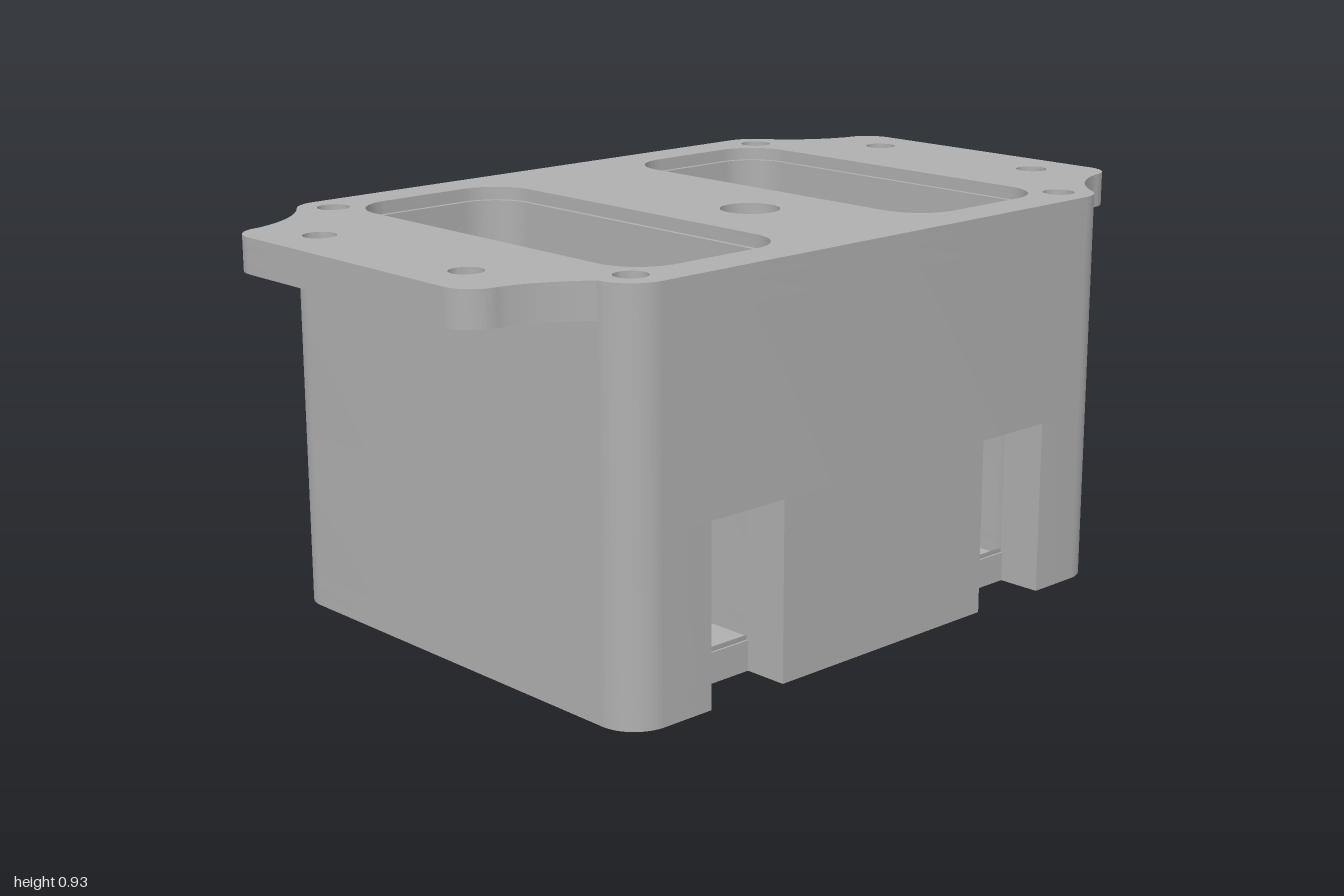
import * as THREE from 'three';
import { toCreasedNormals } from 'three/addons/utils/BufferGeometryUtils.js';

const HX = 0.585, HZ = 0.75, R = 0.09;               // body half sizes and corner radius
const PX = 0.475, PZ = 0.21, PC = 0.4225, PR = 0.1;  // pocket half sizes, centre z, corner radius
const NOTCH = 0.48, NC = 0.425, NW = 0.105;          // notch depth plane, centre z, half width
const FLOOR = 0.02, SILL = 0.07, NOTCH_TOP = 0.41, FLANGE = 0.845, LIP = 0.895, TOP = 0.925;
const Q = Math.PI / 2;

// Shapes are drawn in plan: shape x = model x, shape y = model z.
function roundRect(cz, hx, hz, r, Type = THREE.Path) {
  const p = new Type();
  [[1, -1], [1, 1], [-1, 1], [-1, -1]].forEach(([sx, sz], i) =>
    p.absarc(sx * (hx - r), cz + sz * (hz - r), r, (i - 1) * Q, i * Q, false));
  p.closePath();
  return p;
}

function circle(x, z, r) {
  return new THREE.Path().absarc(x, z, r, 0, Q * 4, false);
}

const pockets = (grow = 0) => [-PC, PC].map(c => roundRect(c, PX + grow, PZ + grow, PR + grow));

// Body outline with two notches in the +x side; open notches run into the pockets.
function notchedOutline(open) {
  const s = new THREE.Shape();
  s.absarc(-HX + R, -HZ + R, R, 2 * Q, 3 * Q, false);
  s.absarc(HX - R, -HZ + R, R, -Q, 0, false);
  for (const side of [-1, 1]) {
    const c = side * NC, depth = open ? PX : NOTCH;
    s.lineTo(HX, c - NW);
    s.lineTo(depth, c - NW);
    if (open) {
      [[1, -1], [-1, -1], [-1, 1], [1, 1]].forEach(([sx, sz], i) =>
        s.absarc(sx * (PX - PR), side * PC + sz * (PZ - PR), PR, -i * Q, -(i + 1) * Q, true));
    }
    s.lineTo(depth, c + NW);
    s.lineTo(HX, c + NW);
  }
  s.absarc(HX - R, HZ - R, R, 0, Q, false);
  s.absarc(-HX + R, HZ - R, R, Q, 2 * Q, false);
  s.closePath();
  return s;
}

// One scalloped quarter of the flange, from its end to the body side.
function flangeCorner(sx, sz) {
  const plain = sx > 0 && sz > 0;
  const a = plain ? Q : Math.PI / 3;
  const p = new THREE.Path();
  p.absarc(0.335, 0.925, 0.075, Q, 0, true);
  p.quadraticCurveTo(plain ? 0.425 : 0.44, plain ? 0.84 : 0.81,
    HX - R + R * Math.cos(a), HZ - R + R * Math.sin(a));
  p.absarc(HX - R, HZ - R, R, a, 0, true);
  const pts = p.getPoints(14).map(v => new THREE.Vector2(v.x * sx, v.y * sz));
  return sx * sz > 0 ? pts.reverse() : pts;
}

function flangeOutline() {
  return new THREE.Shape([[1, -1], [1, 1], [-1, 1], [-1, -1]].flatMap(([sx, sz]) => flangeCorner(sx, sz)));
}

function four(x, z, r) {
  return [[1, 1], [1, -1], [-1, 1], [-1, -1]].map(([sx, sz]) => circle(sx * x, sz * z, r));
}

// Horizontal slab between two heights.
function slab(shape, holes, y0, y1) {
  shape.holes.push(...holes);
  const g = new THREE.ExtrudeGeometry(shape, { depth: y1 - y0, bevelEnabled: false, curveSegments: 14 });
  g.rotateX(Q);
  g.translate(0, y1, 0);
  return toCreasedNormals(g, 0.5);
}

// Rounded transition between the pocket walls and its floor.
function filletGeometry(cz, r) {
  const steps = 8, pos = [], index = [];
  let n = 0;
  for (let i = 0; i <= steps; i++) {
    const a = (i / steps) * Q, inset = r * (1 - Math.cos(a)), y = FLOOR + 0.001 + r * (1 - Math.sin(a));
    const pts = roundRect(cz, PX - inset, PZ - inset, PR - inset).getPoints(10);
    n = pts.length;
    pts.forEach(v => pos.push(v.x, y, v.y));
  }
  for (let i = 0; i < steps; i++) {
    for (let j = 0; j < n; j++) {
      const k = (j + 1) % n, a = i * n + j, b = i * n + k;
      index.push(a, b, a + n, b, b + n, a + n);
    }
  }
  const g = new THREE.BufferGeometry();
  g.setAttribute('position', new THREE.Float32BufferAttribute(pos, 3));
  g.setIndex(index);
  g.computeVertexNormals();
  return g;
}

export function createModel() {
  const group = new THREE.Group();
  const grey = new THREE.MeshStandardMaterial({ color: 0xb0b0b0 });
  grey.name = 'plain grey';
  const add = (name, geometry) => {
    const mesh = new THREE.Mesh(geometry, grey);
    mesh.name = name;
    group.add(mesh);
  };
  const blindHoles = () => [circle(0.155, 0, 0.068), ...four(0.5, 0.667, 0.037)];

  // Box body, from the floor up
  add('floor', slab(notchedOutline(false), [], 0, FLOOR));
  add('sillWalls', slab(notchedOutline(false), pockets(), FLOOR, SILL));
  add('notchedWalls', slab(notchedOutline(true), [], SILL, NOTCH_TOP));
  add('upperWalls', slab(roundRect(0, HX, HZ, R, THREE.Shape),
    [...pockets(), ...blindHoles()], NOTCH_TOP, FLANGE));

  // Mounting flange, with a stepped lip round each pocket
  add('flange', slab(flangeOutline(),
    [...pockets(), ...blindHoles(), ...four(0.25, 0.877, 0.031)], FLANGE, LIP));
  add('flangeLip', slab(flangeOutline(),
    [...pockets(0.011), ...blindHoles(), ...four(0.25, 0.877, 0.037)], LIP, TOP));

  // Rounded pocket bottoms
  for (const c of [-PC, PC]) add('pocketFillet', filletGeometry(c, 0.06));

  return group;
}
